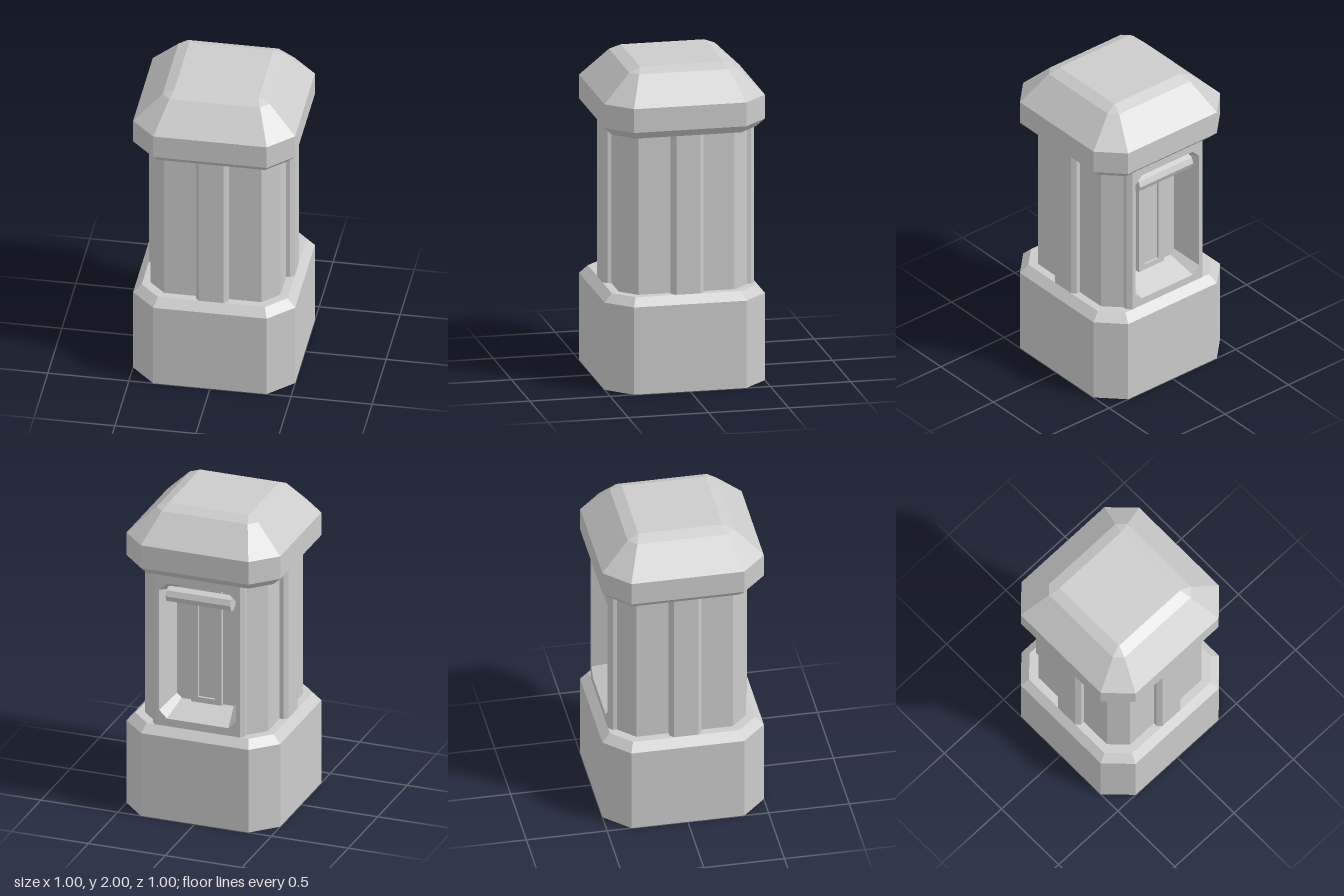
import * as THREE from 'three';

const mat = new THREE.MeshStandardMaterial({ color: 0xcccccc, flatShading: true, side: THREE.DoubleSide });

// Skin a series of cross-sections (arrays of [x, y, z]) with flat quads
function loft(name, rings, { closed = true, startCap = false, endCap = false } = {}) {
  const pos = [];
  const tri = (a, b, c) => pos.push(...a, ...b, ...c);
  const n = rings[0].length;
  for (let r = 0; r < rings.length - 1; r++) {
    const lo = rings[r], hi = rings[r + 1];
    for (let i = 0; i < (closed ? n : n - 1); i++) {
      const j = (i + 1) % n;
      tri(lo[i], lo[j], hi[j]);
      tri(lo[i], hi[j], hi[i]);
    }
  }
  const first = rings[0], last = rings[rings.length - 1];
  for (let i = 1; i < n - 1; i++) {
    if (startCap) tri(first[0], first[i + 1], first[i]);
    if (endCap) tri(last[0], last[i], last[i + 1]);
  }
  const geo = new THREE.BufferGeometry();
  geo.setAttribute('position', new THREE.Float32BufferAttribute(pos, 3));
  geo.computeVertexNormals();
  const mesh = new THREE.Mesh(geo, mat);
  mesh.name = name;
  return mesh;
}

// Horizontal chamfered square: half width h, chamfers start at c; the back edge comes last
const octagon = (h, c, y) => [
  [-c, -h], [-h, -c], [-h, c], [-c, h], [c, h], [h, c], [h, -c], [c, -h],
].map(([x, z]) => [x, y, z]);

// Upright chamfered rectangle around the middle of the shaft
const MID = 1.1;
const window8 = (w, h, c, z) => [
  [-w + c, -h], [w - c, -h], [w, -h + c], [w, h - c],
  [w - c, h], [-w + c, h], [-w, h - c], [-w, -h + c],
].map(([x, y]) => [x, MID + y, z]);

const rect = (w, h, z) => [[-w, -h], [w, -h], [w, h], [-w, h]].map(([x, y]) => [x, MID + y, z]);

// Upright extrusion of an open [x, z] profile over the height of the shaft
const upright = (name, profile) =>
  loft(name, [0.6, 1.6].map(y => profile.map(([x, z]) => [x, y, z])), { closed: false });

export function createModel() {
  const model = new THREE.Group();
  model.name = 'pillar';

  // Plinth with sloped shoulder
  model.add(loft('base', [
    octagon(0.5, 0.35, 0), octagon(0.5, 0.35, 0.55), octagon(0.45, 0.33, 0.6),
  ], { startCap: true, endCap: true }));

  // Shaft walls, open at the back where the niche sits
  model.add(upright('shaft', octagon(0.4, 0.3, 0).map(([x, , z]) => [x, z])));

  // Cap with sloped underside and roof
  model.add(loft('cap', [
    octagon(0.45, 0.33, 1.6), octagon(0.5, 0.35, 1.65), octagon(0.5, 0.35, 1.8),
    octagon(0.33, 0.28, 1.97), octagon(0.26, 0.257, 2),
  ], { startCap: true, endCap: true }));

  // Raised bevelled strips on front, left and right
  [0, 1, -1].forEach(k => {
    const strip = upright('raisedStrip', [
      [-0.1, 0.4], [-0.1, 0.425], [-0.075, 0.45], [0.075, 0.45], [0.1, 0.425], [0.1, 0.4],
    ]);
    strip.rotation.y = k * Math.PI / 2;
    model.add(strip);
  });

  // Back niche, built facing +z and turned round
  const back = new THREE.Group();
  back.name = 'backNiche';
  back.rotation.y = Math.PI;
  model.add(back);

  // Frame face with chamfered opening
  const opening = window8(0.25, 0.45, 0.05, 0.45);
  const face = new THREE.Shape(rect(0.275, 0.5, 0).map(([x, y]) => new THREE.Vector2(x, y)));
  face.holes.push(new THREE.Path(opening.map(([x, y]) => new THREE.Vector2(x, y)).reverse()));
  const frame = new THREE.Mesh(new THREE.ShapeGeometry(face), mat);
  frame.name = 'nicheFrame';
  frame.position.z = 0.45;
  back.add(frame);

  // Bevelled frame edges
  back.add(upright('frameEdge', [[-0.3, 0.4], [-0.3, 0.425], [-0.275, 0.45]]));
  back.add(upright('frameEdge', [[0.275, 0.45], [0.3, 0.425], [0.3, 0.4]]));

  // Tapered recess
  back.add(loft('recess', [opening, window8(0.2, 0.38, 0.03, 0.275)], { endCap: true }));

  // Panel on the recess wall with a sunken centre
  back.add(loft('innerPanel', [
    rect(0.1, 0.38, 0.275), rect(0.1, 0.38, 0.3), rect(0.055, 0.345, 0.3), rect(0.055, 0.345, 0.285),
  ], { endCap: true }));

  // Horizontal bar under the top of the opening
  const bar = new THREE.Mesh(new THREE.CylinderGeometry(0.05, 0.05, 0.42, 8).rotateX(0).rotateZ(Math.PI / 2), mat);
  bar.name = 'crossBar';
  bar.position.set(0, 1.46, 0.395);
  back.add(bar);

  return model;
}
